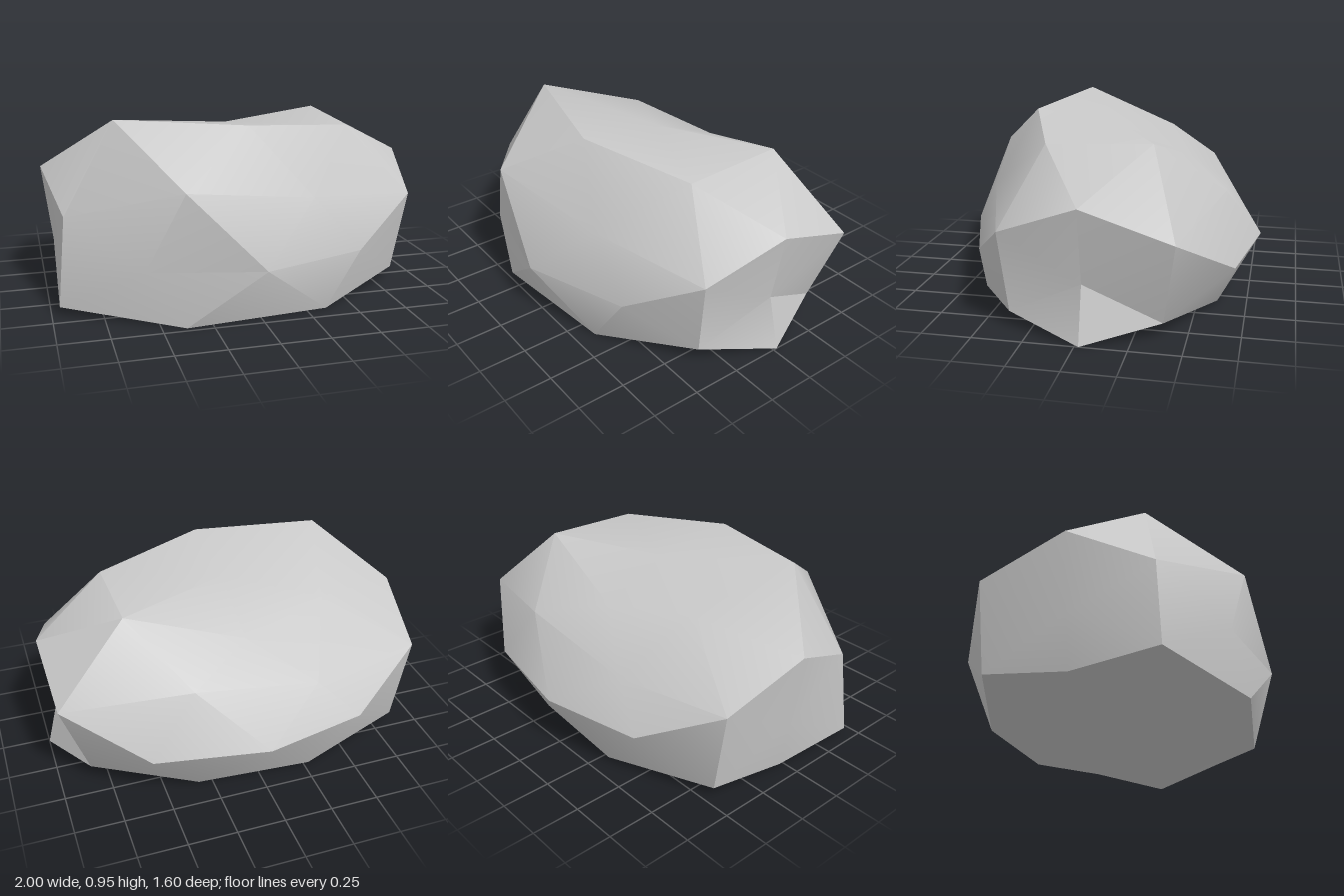
import * as THREE from 'three';
import { toCreasedNormals } from 'three/addons/utils/BufferGeometryUtils.js';

// Chipped corners: each pulls the nearest corner of the plain boulder to itself
const chips = [
  // top
  [-0.65, 0.95, 0.28], [0.6, 0.86, 0.23], [0.6, 0.88, -0.3],
  [-0.48, 0.77, -0.25], [0, 0.86, -0.02], [0, 0.7, -0.4], [0, 0.92, 0.44],
  // front and back
  [-0.38, 0.67, 0.73], [0.3, 0.57, 0.59], [-0.57, 0.28, 0.67], [0.55, 0.28, 0.61],
  [-0.38, 0, 0.72], [-0.54, 0.28, -0.68], [0.58, 0.28, -0.7],
  [0.34, 0.6, -0.63], [-0.33, 0.48, -0.59], [-0.28, 0, -0.64], [0.32, 0, -0.6],
  // right end
  [1, 0.66, -0.02], [0.91, 0.5, 0.39], [0.84, 0.08, 0.36], [1, 0, -0.02],
  [0.84, 0.08, -0.39], [0.98, 0.51, -0.46], [0.93, 0.28, -0.02],
  // left end
  [-1, 0.67, -0.02], [-0.92, 0.5, 0.39], [-0.96, 0.05, 0.42], [-0.9, 0, -0.02],
  [-0.86, 0.05, -0.45], [-0.94, 0.5, -0.46], [-0.95, 0.27, -0.02],
].map((p) => new THREE.Vector3(...p));

export function createModel() {
  const group = new THREE.Group();
  group.name = 'rock';
  const stone = new THREE.MeshStandardMaterial({ color: 0xc8c8c8 });
  stone.name = 'light grey stone';

  // Squashed icosphere sunk into the ground
  const geometry = new THREE.IcosahedronGeometry(1, 1);
  geometry.rotateZ(Math.PI / 2);
  geometry.scale(1.15, 0.74, 0.8);
  geometry.translate(0, 0.28, 0);
  geometry.deleteAttribute('uv');

  const pos = geometry.attributes.position;
  const v = new THREE.Vector3();
  for (let i = 0; i < pos.count; i++) {
    v.fromBufferAttribute(pos, i);
    const chip = chips.reduce((a, b) => (v.distanceTo(b) < v.distanceTo(a) ? b : a));
    if (v.distanceTo(chip) < 0.26) v.copy(chip);
    pos.setXYZ(i, v.x, Math.max(0, v.y), v.z); // flat underside
  }

  // Soft faces with sharp chipped edges
  const boulder = new THREE.Mesh(toCreasedNormals(geometry, Math.PI / 6), stone);
  boulder.name = 'boulder';
  group.add(boulder);
  return group;
}
